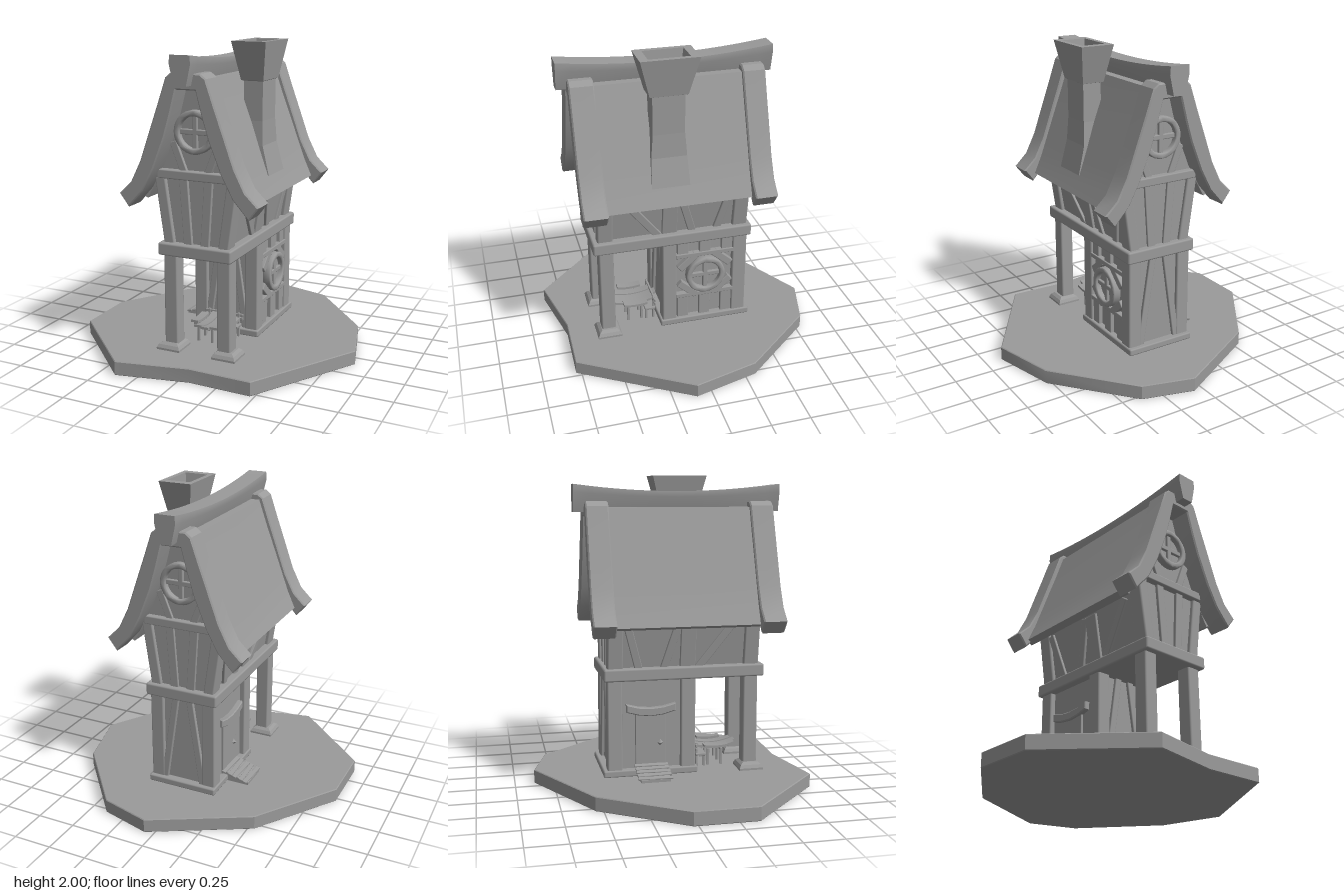
import * as THREE from 'three';
import { toCreasedNormals } from 'three/addons/utils/BufferGeometryUtils.js';
import { RoundedBoxGeometry } from 'three/addons/geometries/RoundedBoxGeometry.js';

const mat = new THREE.MeshStandardMaterial({ color: 0x9a9a9a });
const flat = new THREE.MeshStandardMaterial({ color: 0x9a9a9a, flatShading: true });
const V = (a) => new THREE.Vector3(...a);

function add(parent, name, geo, material = mat) {
  const mesh = new THREE.Mesh(geo, material);
  mesh.name = name;
  parent.add(mesh);
  return mesh;
}

// Bevelled block between two corner positions
function block(parent, name, min, max, r = 0.01) {
  const s = V(max).sub(V(min));
  const m = add(parent, name, new RoundedBoxGeometry(s.x, s.y, s.z, 1, r));
  m.position.copy(V(min).add(V(max)).multiplyScalar(0.5));
  return m;
}

// Timber running from a to b, with width along x and depth along z
function beam(parent, name, a, b, w, d) {
  const p = V(a), q = V(b), dir = q.clone().sub(p);
  const m = add(parent, name, new RoundedBoxGeometry(w, dir.length(), d, 1, Math.min(w, d) * 0.15));
  m.position.copy(p).add(q).multiplyScalar(0.5);
  m.quaternion.setFromUnitVectors(new THREE.Vector3(0, 1, 0), dir.normalize());
  return m;
}

// Outline in x/y extruded from z0 to z1
function slab(parent, name, pts, z0, z1, bevel = 0) {
  const shape = new THREE.Shape(pts.map(([x, y]) => new THREE.Vector2(x, y)));
  const geo = new THREE.ExtrudeGeometry(shape, {
    depth: z1 - z0 - 2 * bevel, bevelEnabled: bevel > 0, bevelSize: bevel,
    bevelThickness: bevel, bevelOffset: -bevel, bevelSegments: 1 });
  geo.translate(0, 0, z0 + bevel);
  return add(parent, name, toCreasedNormals(geo, 0.45));
}

// Four-sided solid from a profile of [half width, y]
function square(parent, name, profile, sx = 1) {
  const pts = profile.map(([r, y]) => new THREE.Vector2(r * Math.SQRT2, y));
  const geo = new THREE.LatheGeometry(pts, 4, Math.PI / 4);
  geo.scale(sx, 1, 1);
  return add(parent, name, geo, flat);
}

// Round window facing +z: ring, recessed pane and cross bars
function roundWindow(parent, name) {
  const g = new THREE.Group();
  g.name = name;
  const ring = new THREE.Shape().absarc(0, 0, 0.123, 0, Math.PI * 2);
  ring.holes.push(new THREE.Path().absarc(0, 0, 0.104, 0, Math.PI * 2, true));
  const geo = new THREE.ExtrudeGeometry(ring, { depth: 0.04, bevelSize: 0.008, bevelThickness: 0.008, bevelSegments: 2, curveSegments: 16 });
  add(g, 'windowRing', toCreasedNormals(geo, 0.9));
  add(g, 'windowPane', new THREE.CircleGeometry(0.105, 32)).position.z = 0.012;
  block(g, 'windowBar', [-0.1, -0.016, 0], [0.1, 0.016, 0.03], 0.006);
  block(g, 'windowBar', [-0.016, -0.1, 0], [0.016, 0.1, 0.03], 0.006);
  parent.add(g);
  return g;
}

// Closed arch outline: right half mirrored around the middle
function arch(outer, inner) {
  const flip = (a) => a.map(([x, y]) => [-x, y]);
  return [...flip(outer).reverse(), ...outer, ...inner.slice().reverse(), ...flip(inner)];
}

export function createModel() {
  const model = new THREE.Group();
  model.name = 'cottage';

  // Ground slab
  const outline = [[-0.9, -0.03], [-0.54, -0.55], [0.06, -0.875], [0.385, -0.785], [0.785, -0.315],
    [0.895, 0.1], [0.475, 0.785], [0.07, 0.775], [-0.39, 0.87], [-0.9, 0.375]];
  const ground = slab(model, 'ground', outline.map(([x, z]) => [x, -z]).reverse(), 0, 0.092, 0.005);
  ground.rotation.x = -Math.PI / 2;

  const house = new THREE.Group();
  house.name = 'house';
  house.position.x = 0.02;
  model.add(house);

  // Lower room
  block(house, 'lowerWalls', [-0.19, 0.09, -0.4], [0.19, 0.74, 0.12], 0.003);
  block(house, 'sill', [-0.235, 0.09, -0.45], [0.235, 0.135, 0.165]);
  for (const s of [-1, 1]) {
    for (const z of [0.102, -0.375])
      block(house, 'cornerPost', [s * 0.18 - 0.045, 0.1, z - 0.048], [s * 0.18 + 0.045, 0.74, z + 0.048]);
    for (const z of [0.12, -0.4])
      beam(house, 'lowerBrace', [s * 0.14, 0.1, z], [s * 0.045, 0.74, z], 0.045, 0.04);
    // Porch posts on flared feet
    block(house, 'porchPost', [s * 0.18 - 0.045, 0.1, 0.47], [s * 0.18 + 0.045, 0.74, 0.565]);
    square(house, 'porchFoot', [[0, 0.08], [0.079, 0.08], [0.079, 0.105], [0.068, 0.125], [0.05, 0.14], [0, 0.14]])
      .position.set(s * 0.19, 0, 0.518);
  }

  // Side window with its timber surround
  const side = roundWindow(house, 'sideWindow');
  side.position.set(0.2, 0.455, -0.14);
  side.rotation.y = Math.PI / 2;
  for (const y of [0.305, 0.61]) block(house, 'windowRail', [0.17, y - 0.015, -0.34], [0.225, y + 0.015, 0.06], 0.004);
  for (const z of [0.01, -0.14, -0.29]) {
    block(house, 'shortStud', [0.17, 0.12, z - 0.037], [0.215, 0.3, z + 0.037], 0.004);
    block(house, 'shortStud', [0.17, 0.61, z - 0.037], [0.215, 0.73, z + 0.037], 0.004);
  }
  for (const sy of [-1, 1]) for (const sz of [-1, 1])
    beam(house, 'windowCorner', [0.205, 0.455 + sy * 0.155, -0.14 + sz * 0.06], [0.205, 0.455 + sy * 0.055, -0.14 + sz * 0.175], 0.04, 0.05);

  // Door, curved lintel and handle
  block(house, 'door', [-0.205, 0.13, -0.24], [-0.17, 0.5, -0.04], 0.004);
  const lintel = slab(house, 'doorLintel', [[-0.16, 0.51], [-0.08, 0.488], [0, 0.48], [0.08, 0.488], [0.16, 0.51],
    [0.16, 0.56], [0.08, 0.54], [0, 0.533], [-0.08, 0.54], [-0.16, 0.56]], 0, 0.054, 0.006);
  lintel.rotation.y = -Math.PI / 2;
  lintel.position.set(-0.172, 0, -0.14);
  add(house, 'doorHandle', new THREE.OctahedronGeometry(0.022), flat).position.set(-0.204, 0.3, -0.08);

  // Slatted ramp to the door
  const ramp = new THREE.Group();
  ramp.name = 'ramp';
  slab(ramp, 'rampBase', [[-0.38, 0.085], [-0.19, 0.085], [-0.19, 0.16], [-0.38, 0.11]], -0.235, -0.045);
  for (let i = 0; i < 5; i++) {
    const slat = block(ramp, 'rampSlat', [-0.015, -0.006, -0.11], [0.015, 0.006, 0.11], 0.003);
    slat.position.set(-0.363 + i * 0.037, 0.115 + i * 0.01, -0.14);
    slat.rotation.set(0, (i % 2 ? 1 : -1) * 0.04, 0.26);
  }
  house.add(ramp);

  // Floor band and flared upper storey with gable
  block(house, 'floorBand', [-0.245, 0.715, -0.445], [0.245, 0.795, 0.602], 0.012);
  const half = [[0.07, 1.77], [0.15, 1.46], [0.225, 1.28], [0.255, 1.18], [0.19, 0.78]];
  slab(house, 'upperWalls', [...half.map(([x, y]) => [-x, y]), ...half.slice().reverse()], -0.4, 0.545);

  for (const [z, s] of [[0.55, 1], [-0.4, -1]]) {
    // Studs, collar and gable braces on each end
    for (const t of [-1, 1]) {
      beam(house, 'cornerStud', [t * 0.18, 0.78, z - s * 0.03], [t * 0.24, 1.2, z - s * 0.03], 0.07, 0.1);
      beam(house, 'stud', [t * 0.055, 0.78, z], [t * 0.085, 1.22, z], 0.055, 0.03);
      beam(house, 'gableBrace', [t * 0.075, 1.23, z], [t * 0.15, 1.42, z], 0.045, 0.03);
    }
    block(house, 'collarBeam', [-0.25, 1.195, z - 0.04], [0.25, 1.25, z + 0.04], 0.008);
    const win = roundWindow(house, 'gableWindow');
    win.position.set(0, 1.485, z - s * 0.008);
    if (s < 0) win.rotation.y = Math.PI;
  }

  // Side timbers of the upper storey: [z at floor, z at eaves]
  for (const s of [-1, 1])
    for (const [z0, z1] of [[0.17, 0.42], [0.1, 0.1], [-0.055, 0.045], [-0.215, -0.305]])
      beam(house, 'sideTimber', [s * 0.19, 0.78, z0], [s * 0.243, 1.11, z1], 0.035, z0 === z1 ? 0.1 : 0.05);

  // Swept roof and heavier barge boards
  slab(house, 'roof', arch(
    [[0.105, 1.8], [0.165, 1.63], [0.222, 1.48], [0.285, 1.31], [0.33, 1.19], [0.382, 1.075]],
    [[0.06, 1.76], [0.105, 1.6], [0.15, 1.46], [0.22, 1.28], [0.27, 1.17], [0.335, 1.055]]), -0.41, 0.55);
  for (const [a, b] of [[0.53, 0.682], [-0.533, -0.388]])
    slab(house, 'bargeBoard', arch(
      [[0.095, 1.838], [0.13, 1.81], [0.182, 1.66], [0.24, 1.5], [0.308, 1.31], [0.374, 1.18], [0.457, 1.1]],
      [[0.045, 1.742], [0.062, 1.742], [0.1, 1.6], [0.143, 1.46], [0.22, 1.27], [0.295, 1.13], [0.395, 1.02]]), a, b, 0.008);

  // Sagging ridge beam, tapering underneath
  const ridge = new THREE.BoxGeometry(0.135, 0.13, 1.345, 1, 2, 14);
  const p = ridge.attributes.position;
  for (let i = 0; i < p.count; i++) {
    const t = p.getZ(i) / 0.6725;
    if (p.getY(i) > 0.01) p.setXYZ(i, p.getX(i) * 0.94, 0.065 + 0.045 * t * t, p.getZ(i));
    else if (p.getY(i) > -0.01) p.setY(i, 0.03 + 0.03 * t * t);
    else p.setX(i, p.getX(i) * 0.58);
  }
  ridge.computeVertexNormals();
  add(house, 'ridgeBeam', ridge).position.set(0, 1.835, 0.0725);

  // Chimney whose foot follows the roof slope, with a hollow cap
  const chimney = square(model, 'chimney', [[0, 1.19], [0.12, 1.19], [0.112, 1.37], [0.1, 1.52], [0.1, 1.76],
    [0.118, 1.765], [0.18, 2], [0.127, 2], [0.1, 1.82], [0, 1.82]], 0.62);
  chimney.position.set(0.24, 0, 0.12);
  const c = chimney.geometry.attributes.position;
  for (let i = 0; i < c.count; i++)
    if (c.getX(i) > 0.01 && c.getY(i) < 1.2) c.setX(i, c.getX(i) + 0.04);

  // Dished round porch table of slats on thin legs, with a small bench behind
  const porch = new THREE.Group();
  porch.name = 'porchFurniture';
  for (let k = -2; k <= 2; k++) {
    const slat = new THREE.BoxGeometry(0.053, 0.016, 0.32 - 0.04 * k * k, 1, 1, 8);
    const q = slat.attributes.position;
    for (let i = 0; i < q.count; i++) q.setY(i, q.getY(i) + 1.2 * q.getZ(i) ** 2);
    slat.computeVertexNormals();
    add(porch, 'tableSlat', slat).position.set(0.005 + k * 0.055, 0.2 + k * k * 0.006, 0.315);
  }
  for (const x of [-0.09, 0.005, 0.1])
    for (const z of [0.27, 0.36]) beam(porch, 'tableLeg', [x, 0.085, z], [x, 0.205, z], 0.016, 0.016);
  for (const y of [0.21, 0.235]) block(porch, 'benchBack', [-0.13, y - 0.009, 0.175], [0.14, y + 0.009, 0.188], 0.003);
  block(porch, 'benchSeat', [-0.12, 0.165, 0.18], [0.13, 0.18, 0.25], 0.003);
  for (const x of [-0.1, 0.11]) {
    beam(porch, 'benchPost', [x, 0.085, 0.19], [x, 0.25, 0.185], 0.015, 0.015);
    beam(porch, 'benchLeg', [x, 0.085, 0.24], [x, 0.17, 0.24], 0.015, 0.015);
  }
  house.add(porch);

  return model;
}
